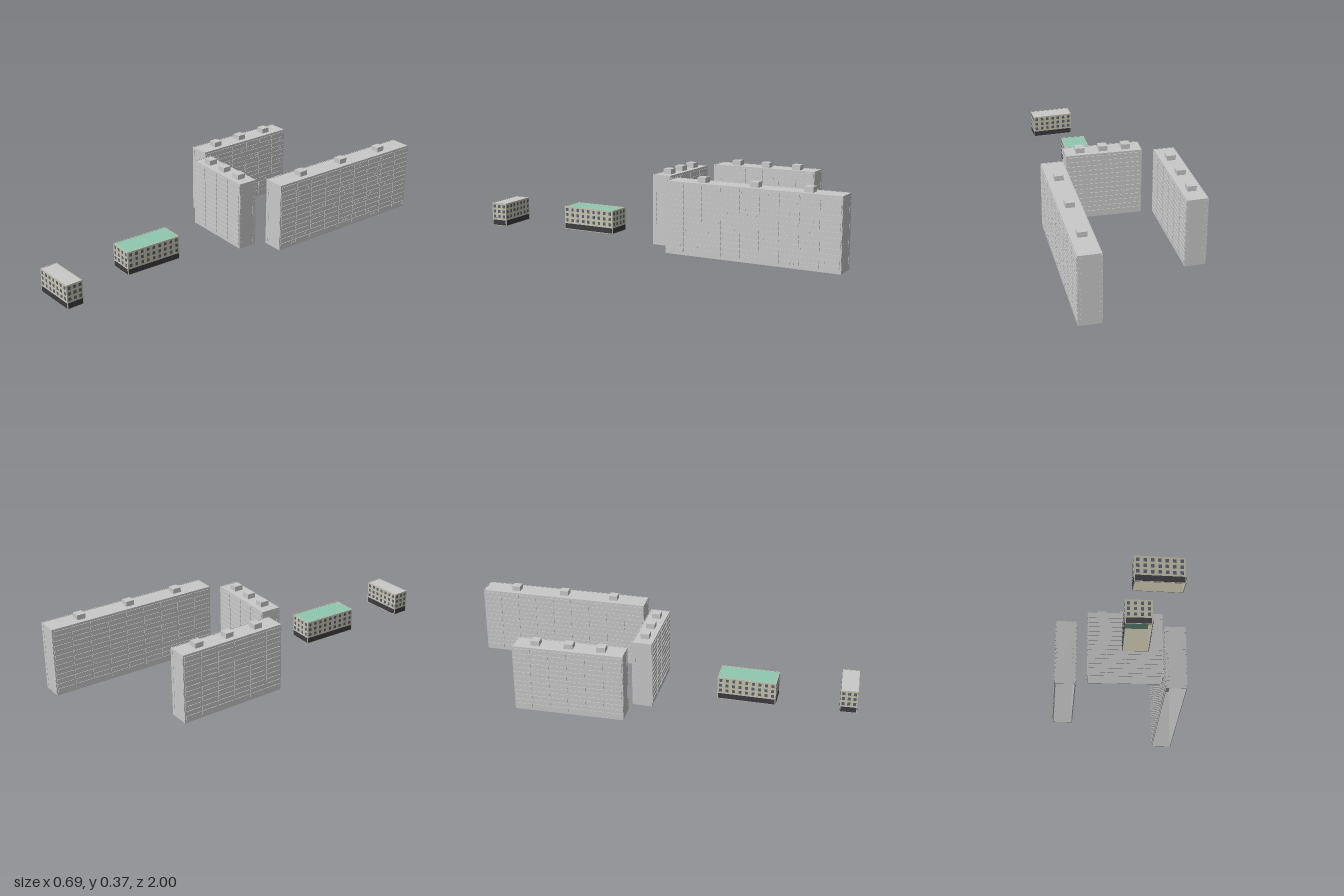
import * as THREE from 'three';
import { mergeGeometries } from 'three/addons/utils/BufferGeometryUtils.js';

const mat = (name, color) => Object.assign(new THREE.MeshStandardMaterial({ color }), { name });

function createModel() {
  const concrete = mat('concrete grey', 0xc9c9c9);
  const plaster = mat('beige plaster', 0xc8c4ae);
  const green = mat('green roofing', 0x90c8b2);
  const dark = mat('dark plinth', 0x3c3b42);
  const glass = mat('window blue grey', 0x566174);

  const model = new THREE.Group();
  model.name = 'housingBlocks';

  // Small seeded generator for scattered details
  let seed = 7;
  const rand = () => (seed = (seed * 16807) % 2147483647) / 2147483647;

  const box = (w, h, d, x, y, z) => new THREE.BoxGeometry(w, h, d).translate(x, y, z);
  const add = (group, name, geos, material) => {
    const mesh = new THREE.Mesh(mergeGeometries(geos), material);
    mesh.name = name;
    group.add(mesh);
  };

  // Four walls around an open base, with a roof just under the parapet
  function shell(group, w, h, d, wallMat, roofMat) {
    const t = 0.003;
    const walls = [];
    for (const s of [-1, 1]) {
      walls.push(box(w, h, t, 0, h / 2, s * (d - t) / 2));
      walls.push(box(t, h, d - 2 * t, s * (w - t) / 2, h / 2, 0));
    }
    add(group, 'walls', walls, wallMat);
    add(group, 'roof', [box(w - 2 * t, 0.003, d - 2 * t, 0, h - 0.0035, 0)], roofMat);
  }

  // Tower, long along local z, with balcony panels on both long sides
  function tower(name, x, z, angle, w, length, bays, hutches, units) {
    const g = new THREE.Group();
    g.name = name;
    const h = 0.345, floors = 13, pitch = 0.025, out = 0.003;
    const core = w - 2 * out, bay = (length - 0.006) / bays;
    shell(g, core, h, length - 0.002, concrete, concrete);

    const panels = [], returns = [], boxes = [];
    for (let f = 0; f < floors; f++) {
      const y = 0.025 + f * pitch;
      for (const s of [-1, 1]) {
        for (let b = 0; b < bays; b++) {
          const pz = (b - (bays - 1) / 2) * bay;
          panels.push(box(out, 0.0185, bay - 0.007, s * (w - out) / 2, y, pz));
        }
        // Short panel returns at the corners of the end walls
        for (const e of [-1, 1]) {
          returns.push(box(0.016, 0.0185, 0.001, s * (core / 2 - 0.01), y, e * (length / 2 - 0.0005)));
        }
      }
    }
    // Scattered wall units on one long side
    for (let i = 0; i < units; i++) {
      const y = 0.021 + Math.floor(rand() * floors) * pitch;
      boxes.push(box(0.004, 0.007, 0.009, w / 2 + 0.001, y, (rand() - 0.5) * (length - 0.03)));
    }
    add(g, 'balconyPanels', panels, concrete);
    add(g, 'endPanels', returns, concrete);
    if (units) add(g, 'wallUnits', boxes, concrete);
    add(g, 'roofHutches', hutches.map(p => box(0.043, 0.027, 0.043, 0, h + 0.0095, p)), concrete);

    g.position.set(x, 0, z);
    g.rotation.y = angle;
    model.add(g);
  }

  // Low building with a dark plinth and three rows of windows
  function lowBlock(name, x, z, angle, w, d, nx, nz, roofMat) {
    const g = new THREE.Group();
    g.name = name;
    const h = 0.12;
    shell(g, w, h, d, plaster, roofMat);

    const panes = [], plinth = [];
    for (const s of [-1, 1]) {
      plinth.push(box(w - 0.008, 0.027, 0.002, 0, 0.0165, s * d / 2));
      plinth.push(box(0.002, 0.027, d - 0.008, s * w / 2, 0.0165, 0));
      for (const y of [0.048, 0.0755, 0.103]) {
        for (let i = 0; i < nx; i++)
          panes.push(box(0.0145, 0.016, 0.001, ((i + 0.5) / nx - 0.5) * w, y, s * d / 2));
        for (let i = 0; i < nz; i++)
          panes.push(box(0.001, 0.016, 0.0145, s * w / 2, y, ((i + 0.5) / nz - 0.5) * d));
      }
    }
    add(g, 'windows', panes, glass);
    add(g, 'plinth', plinth, dark);

    g.position.set(x, 0, z);
    g.rotation.y = angle;
    model.add(g);
  }

  tower('rightViewTower', 0.281, -0.563, -0.004, 0.113, 0.872, 9, [-0.265, -0.002, 0.263], 60);
  tower('leftViewTower', -0.287, -0.37, 0.012, 0.108, 0.547, 6, [-0.165, 0, 0.16], 35);
  tower('middleTower', 0.011, -0.037, Math.PI / 2 - 0.02, 0.104, 0.378, 4, [-0.114, 0, 0.114], 0);
  lowBlock('greenRoofBlock', 0.035, 0.455, -0.017, 0.125, 0.293, 4, 9, green);
  lowBlock('frontBlock', 0.088, 0.953, 0.035, 0.216, 0.085, 7, 3, concrete);

  return model;
}

export { createModel };
